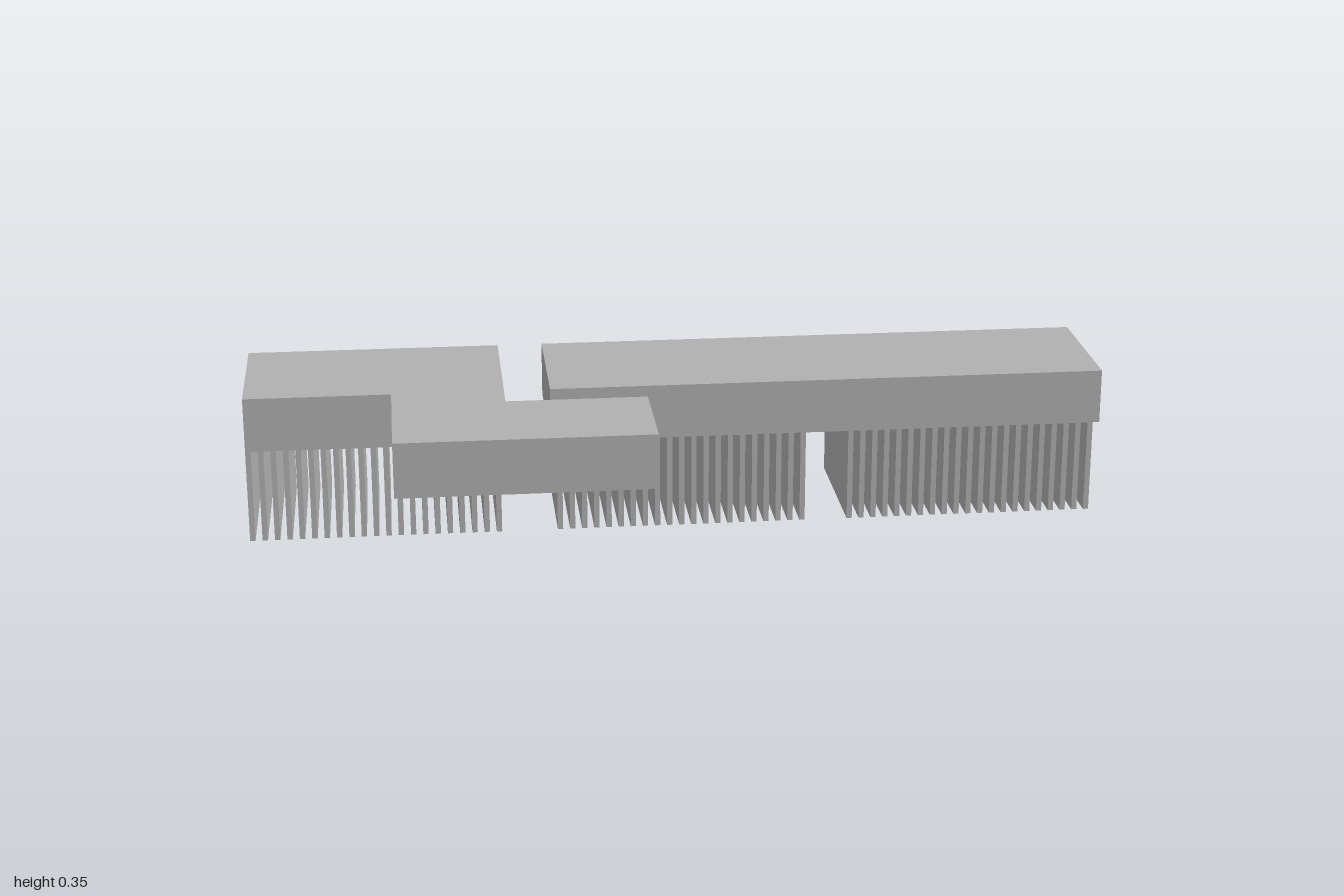
import * as THREE from 'three';

const DECK_Y = 0.219, TOP_Y = 0.347;
const BACK_Z = -0.34, FRONT_Z = 0.005;

export function createModel() {
  const model = new THREE.Group();
  model.name = 'steppedSlabsOnFins';
  const grey = new THREE.MeshStandardMaterial({ color: 0xb0b0b0 });
  grey.name = 'plainGrey';

  // Flat slab from a plan outline of [x, z] points, listed clockwise seen from above
  function addSlab(name, outline) {
    const shape = new THREE.Shape(outline.map(([x, z]) => new THREE.Vector2(x, -z)));
    const geometry = new THREE.ExtrudeGeometry(shape, { depth: TOP_Y - DECK_Y, bevelEnabled: false });
    geometry.rotateX(-Math.PI / 2);
    geometry.translate(0, DECK_Y, 0);
    const slab = new THREE.Mesh(geometry, grey);
    slab.name = name;
    model.add(slab);
  }

  // Long straight slab
  addSlab('longSlab', [[-0.298, BACK_Z], [1, BACK_Z], [1, FRONT_Z], [-0.298, FRONT_Z]]);

  // Stepped slab with an arm reaching forward
  addSlab('steppedSlab', [
    [-1, BACK_Z], [-0.404, BACK_Z], [-0.404, 0.081], [-0.079, 0.081],
    [-0.079, 0.34], [-0.662, 0.34], [-0.662, FRONT_Z], [-1, FRONT_Z],
  ]);

  // Three banks of thin upright fins carry the slabs
  const count = 21, pitch = 0.0286, width = 0.0125;
  const finGeometry = new THREE.BoxGeometry(width, DECK_Y, FRONT_Z - BACK_Z);
  const banks = { rightFins: -1, middleFins: -0.285, leftFins: 0.4 };
  for (const [name, start] of Object.entries(banks)) {
    const bank = new THREE.Group();
    bank.name = name;
    for (let i = 0; i < count; i++) {
      const fin = new THREE.Mesh(finGeometry, grey);
      fin.name = 'fin';
      fin.position.set(start + width / 2 + i * pitch, DECK_Y / 2, (FRONT_Z + BACK_Z) / 2);
      bank.add(fin);
    }
    model.add(bank);
  }
  return model;
}
